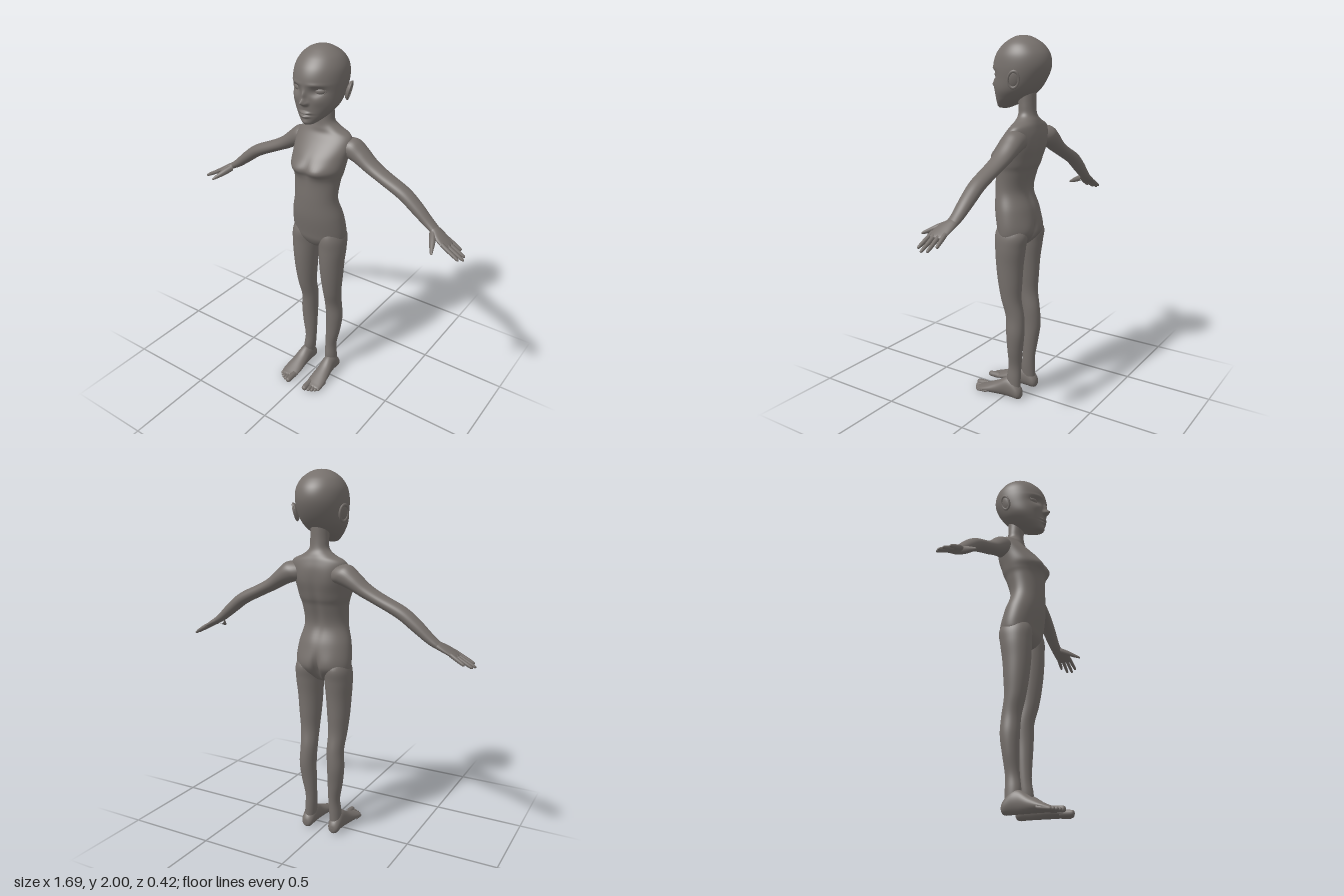
import * as THREE from 'three';

const X = [1, 0, 0], Y = [0, 1, 0], Z = [0, 0, 1];

// Smooth closed skin through elliptical rings; each row is [x, y, z, radiusU, radiusV].
function loft(rows, U, V, s = 1, steps = 6, segs = 32) {
  const u = new THREE.Vector3(U[0] * s, U[1], U[2]);
  const v = new THREE.Vector3(V[0] * s, V[1], V[2]).normalize();
  const mid = new THREE.CatmullRomCurve3(rows.map(r => new THREE.Vector3(r[0] * s, r[1], r[2])), false, 'catmullrom');
  const rad = new THREE.CatmullRomCurve3(rows.map(r => new THREE.Vector3(r[3], r[4], 0)), false, 'catmullrom');
  const n = (rows.length - 1) * steps, pos = [], idx = [];
  const along = mid.getPoint(1).sub(mid.getPoint(0));
  const flip = u.clone().cross(v).dot(along) < 0;
  for (let i = 0; i <= n; i++) {
    const c = mid.getPoint(i / n), r = rad.getPoint(i / n);
    for (let j = 0; j < segs; j++) {
      const t = j / segs * Math.PI * 2;
      const p = c.clone().addScaledVector(u, Math.max(0, r.x) * Math.cos(t)).addScaledVector(v, Math.max(0, r.y) * Math.sin(t));
      pos.push(p.x, p.y, p.z);
      if (i === n) continue;
      const a = i * segs + j, b = i * segs + (j + 1) % segs, d = a + segs, e = b + segs;
      if (flip) idx.push(a, d, b, b, d, e); else idx.push(a, b, d, b, e, d);
    }
  }
  const g = new THREE.BufferGeometry();
  g.setAttribute('position', new THREE.Float32BufferAttribute(pos, 3));
  g.setIndex(idx);
  g.computeVertexNormals();
  return g;
}

// Mirrored soft bumps pushed along z; each is [x, y, spreadX, spreadY, amount], side 1 = front, -1 = back.
function sculpt(g, side, zMid, bumps) {
  const p = g.attributes.position;
  for (let i = 0; i < p.count; i++) {
    const x = Math.abs(p.getX(i)), y = p.getY(i), z = p.getZ(i);
    const w = THREE.MathUtils.clamp((z - zMid) * side / 0.04, 0, 1);
    let d = 0;
    for (const [bx, by, sx, sy, a] of bumps) d += a * Math.exp(-(((x - bx) / sx) ** 2) - ((y - by) / sy) ** 2);
    p.setZ(i, z + d * w * side);
  }
  g.computeVertexNormals();
  return g;
}

// Row from a height, a half width and the front and back limits in depth.
const slab = ([y, w, front, back]) => [0, y, (front + back) / 2, w, (front - back) / 2];

// Tapered round-ended digit between two points.
function digit(a, b, r0, r1, U, V, s) {
  const at = (t, r) => [0, 1, 2].map(k => a[k] + (b[k] - a[k]) * t).concat([r, r]);
  return loft([at(0, r0), at(0.35, r0 * 0.95), at(0.6, (r0 + r1) / 2), at(0.85, r1), at(0.96, r1 * 0.7), at(1, 0)], U, V, s, 3, 12);
}

export function createModel() {
  const model = new THREE.Group();
  const skin = new THREE.MeshStandardMaterial({ color: 0x76706c });
  skin.name = 'warm grey';
  const add = (name, geometry, parent = model) => {
    const m = new THREE.Mesh(geometry, skin);
    m.name = name;
    parent.add(m);
    return m;
  };

  // Torso and neck
  const torso = loft([
    [0.885, 0, -0.02, -0.06], [0.905, 0.07, 0.02, -0.09], [0.95, 0.145, 0.05, -0.13], [1.0, 0.16, 0.062, -0.145],
    [1.1, 0.15, 0.08, -0.13], [1.2, 0.125, 0.085, -0.1], [1.3, 0.13, 0.083, -0.123], [1.345, 0.141, 0.088, -0.142],
    [1.385, 0.151, 0.1, -0.153], [1.44, 0.157, 0.068, -0.165], [1.5, 0.165, 0.015, -0.167], [1.545, 0.15, -0.025, -0.158],
    [1.575, 0.09, -0.035, -0.148], [1.605, 0.055, -0.04, -0.135], [1.65, 0.05, -0.04, -0.13], [1.72, 0.05, -0.03, -0.13],
  ].map(slab), X, Z, 1, 6, 72);
  sculpt(torso, 1, -0.04, [[0.07, 1.375, 0.045, 0.035, 0.012], [0, 1.38, 0.02, 0.06, -0.006]]);
  sculpt(torso, -1, -0.04, [[0, 0.96, 0.014, 0.06, -0.035], [0.075, 0.99, 0.05, 0.06, 0.008], [0, 1.3, 0.025, 0.16, -0.012], [0.085, 1.44, 0.04, 0.06, 0.006]]);
  add('torso', torso);

  // Head with sculpted face
  const head = loft([
    [1.628, 0, 0.07, 0.05], [1.634, 0.03, 0.086, 0.02], [1.655, 0.058, 0.092, -0.03], [1.685, 0.088, 0.094, -0.09],
    [1.73, 0.117, 0.096, -0.145], [1.79, 0.13, 0.099, -0.188], [1.85, 0.135, 0.102, -0.21], [1.905, 0.129, 0.085, -0.203],
    [1.95, 0.106, 0.05, -0.172], [1.98, 0.071, 0.01, -0.13], [1.996, 0.034, -0.025, -0.093], [2.0, 0, -0.059, -0.061],
  ].map(slab), X, Z, 1, 12, 160);
  sculpt(head, 1, -0.02, [
    [0, 1.751, 0.014, 0.015, 0.034], [0, 1.783, 0.011, 0.025, 0.016], [0.016, 1.745, 0.009, 0.009, 0.014],
    [0, 1.695, 0.027, 0.006, 0.016], [0, 1.677, 0.023, 0.007, 0.014], [0, 1.686, 0.035, 0.003, -0.004],
    [0, 1.645, 0.025, 0.012, 0.006], [0.064, 1.806, 0.032, 0.021, -0.02], [0.06, 1.838, 0.04, 0.009, 0.005],
    [0.07, 1.757, 0.03, 0.025, 0.005],
  ]);
  add('head', head);

  for (const s of [1, -1]) {
    const side = new THREE.Group();
    side.name = s > 0 ? 'leftSide' : 'rightSide';
    model.add(side);

    // Eye with lid rim
    const eye = new THREE.Group();
    eye.name = 'eye';
    eye.position.set(0.066 * s, 1.806, 0.056);
    eye.rotation.set(0, 0.4 * s, 0.06 * s);
    side.add(eye);
    add('eyeball', new THREE.SphereGeometry(1, 24, 16), eye).scale.set(0.029, 0.017, 0.014);
    const lid = add('eyelids', new THREE.TorusGeometry(1, 0.11, 8, 32), eye);
    lid.scale.set(0.03, 0.0175, 0.03);
    lid.position.z = 0.004;

    // Ear with outer rim
    const ear = new THREE.Group();
    ear.name = 'ear';
    ear.position.set(0.136 * s, 1.787, -0.088);
    ear.rotation.set(-0.2, 0.35 * s, -0.16 * s);
    side.add(ear);
    add('earShell', new THREE.SphereGeometry(1, 20, 16), ear).scale.set(0.011, 0.045, 0.03);
    const rim = add('earRim', new THREE.TorusGeometry(1, 0.2, 8, 32).rotateY(Math.PI / 2), ear);
    rim.scale.set(0.03, 0.042, 0.028);
    rim.position.x = 0.006 * s;

    // Arm from shoulder to wrist
    const armV = [0.55, 0.83, 0];
    add('arm', loft([
      [0.07, 1.5, -0.1, 0.03, 0.03], [0.12, 1.487, -0.102, 0.056, 0.056], [0.16, 1.478, -0.105, 0.062, 0.058],
      [0.21, 1.45, -0.107, 0.058, 0.047], [0.275, 1.407, -0.105, 0.052, 0.037], [0.35, 1.369, -0.103, 0.048, 0.033],
      [0.47, 1.312, -0.102, 0.044, 0.034], [0.55, 1.254, -0.101, 0.04, 0.032], [0.62, 1.197, -0.099, 0.034, 0.025],
      [0.66, 1.17, -0.096, 0.032, 0.019], [0.69, 1.155, -0.09, 0.03, 0.012],
    ], Z, armV, s, 6, 36), side);

    // Hand
    const handV = [0.48, 0.88, 0];
    add('palm', loft([
      [0.63, 1.187, -0.097, 0.024, 0.015], [0.66, 1.17, -0.094, 0.033, 0.019], [0.69, 1.154, -0.083, 0.044, 0.018],
      [0.72, 1.138, -0.077, 0.047, 0.015], [0.75, 1.122, -0.074, 0.045, 0.011], [0.76, 1.117, -0.074, 0.035, 0.006], [0.762, 1.116, -0.074, 0, 0],
    ], Z, handV, s, 5, 28), side);
    [[-0.109, -0.116, 0.805, 1.088], [-0.085, -0.088, 0.838, 1.072], [-0.061, -0.058, 0.846, 1.07], [-0.038, -0.029, 0.83, 1.08]]
      .forEach(([z0, z1, x, y], i) => add('finger' + (i + 1), digit([0.73, 1.133, z0], [x, y, z1], 0.0115, 0.0085, Z, handV, s), side));
    add('thumb', digit([0.665, 1.158, -0.065], [0.716, 1.112, 0.044], 0.019, 0.009, X, Y, s), side);

    // Leg
    add('leg', loft([
      [0.085, 0.03, -0.055, 0.03, 0.038], [0.078, 0.12, -0.052, 0.033, 0.042], [0.074, 0.2, -0.058, 0.032, 0.038],
      [0.083, 0.3, -0.064, 0.042, 0.044], [0.088, 0.4, -0.068, 0.047, 0.052], [0.083, 0.5, -0.063, 0.047, 0.053],
      [0.087, 0.6, -0.042, 0.052, 0.058], [0.088, 0.7, -0.035, 0.061, 0.069], [0.088, 0.8, -0.033, 0.068, 0.078],
      [0.089, 0.9, -0.038, 0.074, 0.087], [0.087, 0.98, -0.042, 0.068, 0.09], [0.08, 1.06, -0.03, 0.03, 0.04],
    ], X, Z, s, 6, 40), side);

    // Foot and toes
    add('foot', loft([
      [0.085, 0.035, -0.108, 0, 0], [0.085, 0.035, -0.104, 0.02, 0.022], [0.085, 0.042, -0.088, 0.033, 0.04],
      [0.084, 0.06, -0.05, 0.038, 0.058], [0.085, 0.06, -0.01, 0.039, 0.058], [0.088, 0.043, 0.045, 0.045, 0.041],
      [0.09, 0.029, 0.1, 0.051, 0.027], [0.091, 0.019, 0.145, 0.05, 0.016], [0.09, 0.015, 0.168, 0.04, 0.01], [0.09, 0.014, 0.172, 0, 0],
    ], X, Y, s, 6, 32), side);
    [[0.06, 0.214, 0.018], [0.085, 0.205, 0.012], [0.104, 0.196, 0.0115], [0.12, 0.184, 0.011], [0.133, 0.17, 0.01]]
      .forEach(([x, z, r], i) => add('toe' + (i + 1), digit([x, 0.02, z - 0.075], [x, r * 0.8 + 0.002, z], r, r * 0.85, X, Y, s), side));
  }
  return model;
}
